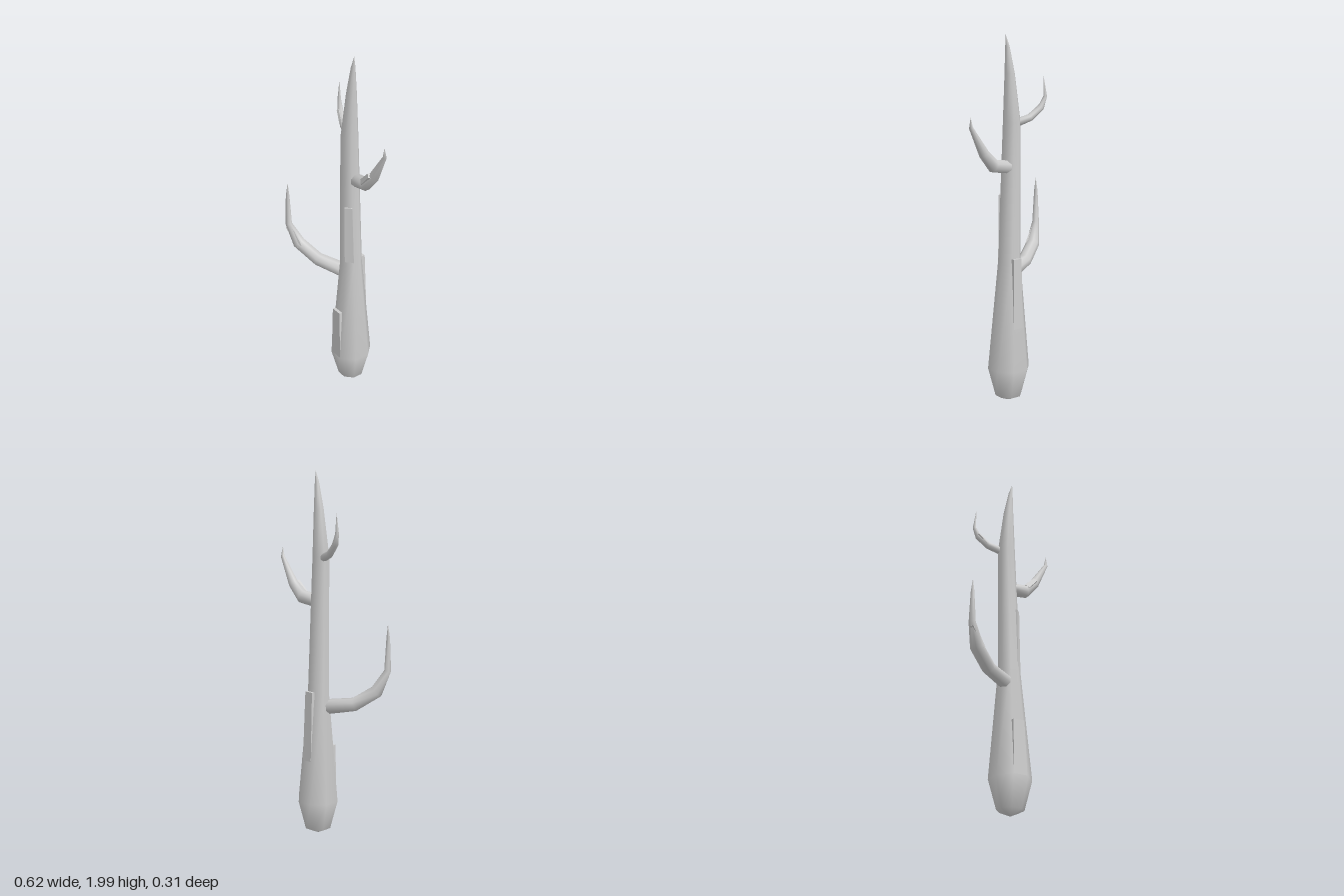
import * as THREE from 'three';

const V = (x, y, z) => new THREE.Vector3(x, y, z);

// Eight-sided tapered limb through [x, y, z, radius] stations; side is the fixed ring axis
function limb(stations, side, sides = 8) {
  const pts = stations.map(([x, y, z]) => V(x, y, z));
  const pos = [], index = [];
  pts.forEach((p, i) => {
    const a = pts[Math.max(i - 1, 0)], b = pts[Math.min(i + 1, pts.length - 1)];
    const n = b.clone().sub(a).normalize().cross(side).normalize();
    const r = stations[i][3];
    for (let j = 0; j < sides; j++) {
      const t = ((j + 0.5) / sides) * Math.PI * 2;
      const q = p.clone().addScaledVector(side, r * Math.cos(t)).addScaledVector(n, r * Math.sin(t));
      pos.push(q.x, q.y, q.z);
      if (i < pts.length - 1) {
        const k = i * sides, m = (j + 1) % sides;
        index.push(k + j, k + m, k + sides + m, k + j, k + sides + m, k + sides + j);
      }
    }
  });
  const g = new THREE.BufferGeometry();
  g.setAttribute('position', new THREE.Float32BufferAttribute(pos, 3));
  g.setIndex(index);
  g.computeVertexNormals();
  return g;
}

// Bark wedge: a ledge at `top` whose outer face runs flush into the limb at `end`
function wedge(top, end, out, width, depth) {
  const along = top.clone().sub(end), length = along.length();
  along.normalize();
  const x = along.clone().cross(out).normalize();
  const z = x.clone().cross(along).normalize();
  const g = new THREE.BoxGeometry(width, length, depth);
  g.translate(0, 0, -depth / 2);
  const p = g.attributes.position;
  for (let i = 0; i < p.count; i++) if (p.getY(i) < 0) p.setX(i, p.getX(i) * 1.2);
  g.computeVertexNormals();
  g.applyMatrix4(new THREE.Matrix4().makeBasis(x, along, z)
    .setPosition(top.clone().add(end).multiplyScalar(0.5)));
  return g;
}

export function createModel() {
  const group = new THREE.Group();
  const bark = new THREE.MeshStandardMaterial({ color: 0xcccccc });
  bark.name = 'paleBark';
  const add = (name, geometry) => {
    const mesh = new THREE.Mesh(geometry, bark);
    mesh.name = name;
    group.add(mesh);
  };

  // Trunk with a swollen foot and a leaning spike
  add('trunk', limb([
    [0.045, 0.008, -0.048, 0], [0.046, 0.04, -0.048, 0.073], [0.045, 0.2, -0.048, 0.116],
    [0.04, 0.8, -0.048, 0.062], [0.022, 1.55, -0.046, 0.048], [0.036, 1.8, -0.047, 0.028],
    [0.05, 1.94, -0.046, 0.012], [0.06, 2, -0.045, 0],
  ], V(1, 0, 0)));

  // Branches curving outward then up
  const branches = {
    lowerBranch: [[0.004, 0.73, -0.025, 0], [0, 0.73, -0.023, 0.042], [-0.14, 0.753, 0.047, 0.038],
      [-0.245, 0.83, 0.105, 0.037], [-0.293, 0.945, 0.14, 0.019], [-0.294, 1.12, 0.141, 0.01],
      [-0.292, 1.2, 0.14, 0]],
    middleBranch: [[0.045, 1.31, -0.055, 0], [0.05, 1.312, -0.055, 0.037], [0.15, 1.325, -0.058, 0.037],
      [0.215, 1.393, -0.063, 0.028], [0.297, 1.535, -0.063, 0.011], [0.297, 1.59, -0.061, 0]],
    upperBranch: [[0, 1.541, -0.055, 0], [-0.005, 1.542, -0.057, 0.022], [-0.075, 1.568, -0.08, 0.02],
      [-0.133, 1.62, -0.1, 0.017], [-0.154, 1.677, -0.108, 0.01], [-0.146, 1.79, -0.103, 0]],
  };
  for (const [name, s] of Object.entries(branches)) {
    const d = V(s.at(-1)[0] - s[0][0], 0, s.at(-1)[2] - s[0][2]).normalize();
    add(name, limb(s, V(d.z, 0, -d.x)));
  }

  // Bark wedges on the trunk
  add('frontBark', wedge(V(0.04, 0.5, 0.052), V(0.045, 0.2, 0.059), V(0, 0, 1), 0.066, 0.03));
  add('backBark', wedge(V(0.04, 0.82, -0.124), V(0.045, 0.42, -0.136), V(0, 0, -1), 0.05, 0.03));
  add('sideBark', wedge(V(0.073, 1.16, -0.004), V(0.08, 0.82, -0.008), V(1, 0, 1), 0.042, 0.025));

  // Small bark wedges on the branches
  add('lowerBranchBark', wedge(V(-0.21, 0.825, 0.124), V(-0.284, 0.93, 0.148), V(0.5, 0.3, 1), 0.03, 0.02));
  add('middleBranchBark', wedge(V(0.205, 1.405, -0.03), V(0.148, 1.345, -0.026), V(-0.3, 0.3, 1), 0.025, 0.02));
  add('upperBranchBark', wedge(V(-0.136, 1.635, -0.084), V(-0.085, 1.58, -0.066), V(0.2, 0.3, 1), 0.014, 0.012));
  return group;
}
